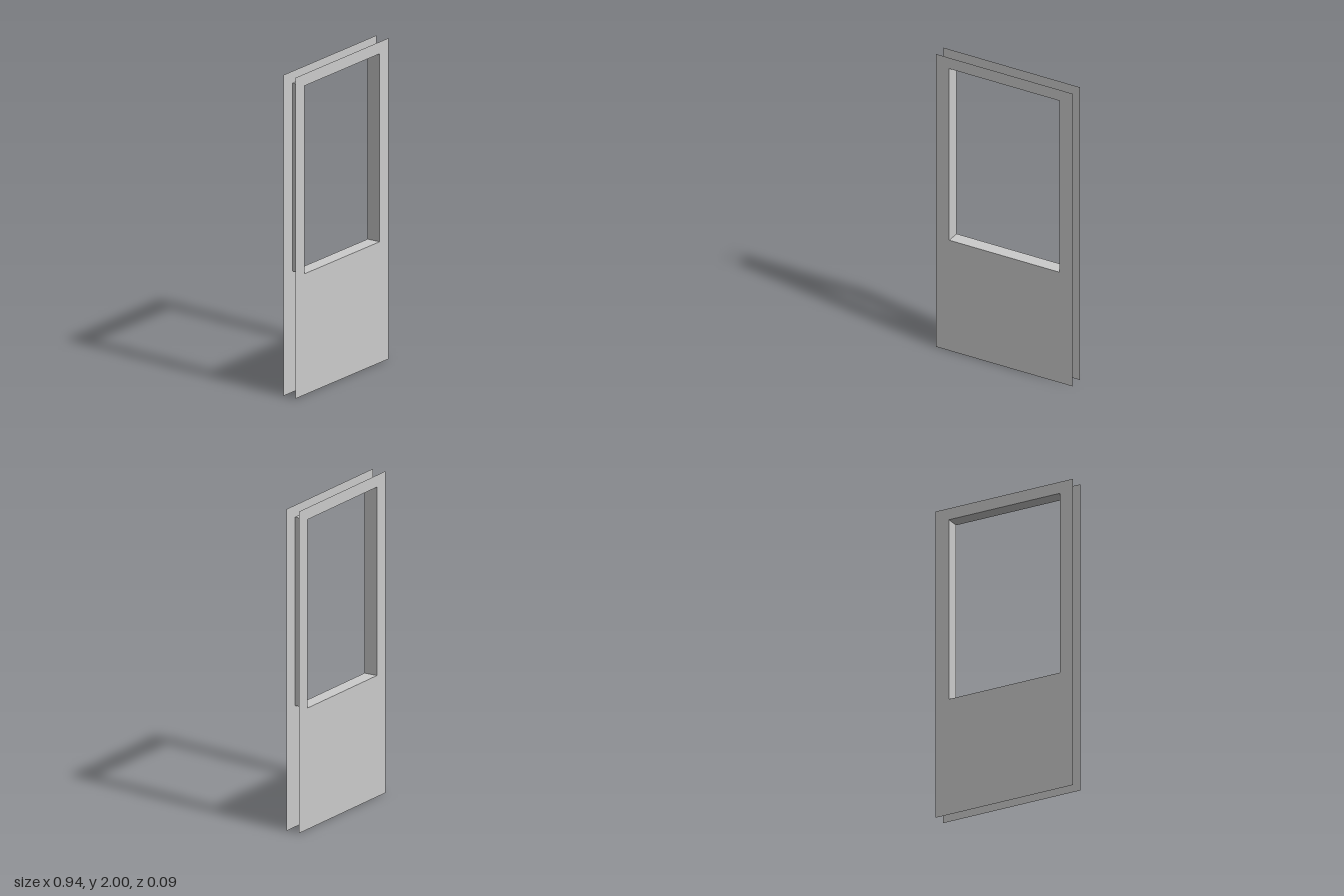
import * as THREE from 'three';

const HALF_W = 0.468, HEIGHT = 2, HALF_D = 0.044;
const OPEN_X = 0.377, OPEN_BOTTOM = 0.754, OPEN_TOP = 1.926;

export function createModel() {
  const group = new THREE.Group();
  group.name = 'doorPanel';
  const material = new THREE.MeshStandardMaterial({ color: 0xcccccc, side: THREE.DoubleSide });

  const addPlane = (name, geometry, position, rotation = [0, 0, 0]) => {
    const mesh = new THREE.Mesh(geometry, material);
    mesh.name = name;
    mesh.position.set(...position);
    mesh.rotation.set(...rotation);
    group.add(mesh);
  };

  // Thin face sheet with a window opening
  const corners = (x, y0, y1) => [[-x, y0], [x, y0], [x, y1], [-x, y1]].map(p => new THREE.Vector2(...p));
  const sheet = new THREE.Shape(corners(HALF_W, 0, HEIGHT));
  sheet.holes.push(new THREE.Path(corners(OPEN_X, OPEN_BOTTOM, OPEN_TOP)));
  const sheetGeometry = new THREE.ShapeGeometry(sheet);
  addPlane('frontSheet', sheetGeometry, [0, 0, HALF_D]);
  addPlane('backSheet', sheetGeometry, [0, 0, -HALF_D], [0, Math.PI, 0]);

  // Window reveal facing into the opening; the outer edges stay open
  const openHeight = OPEN_TOP - OPEN_BOTTOM, midY = (OPEN_TOP + OPEN_BOTTOM) / 2;
  const jamb = new THREE.PlaneGeometry(2 * HALF_D, openHeight);
  const ledge = new THREE.PlaneGeometry(2 * OPEN_X, 2 * HALF_D);
  addPlane('leftJamb', jamb, [OPEN_X, midY, 0], [0, -Math.PI / 2, 0]);
  addPlane('rightJamb', jamb, [-OPEN_X, midY, 0], [0, Math.PI / 2, 0]);
  addPlane('windowSill', ledge, [0, OPEN_BOTTOM, 0], [-Math.PI / 2, 0, 0]);
  addPlane('windowHead', ledge, [0, OPEN_TOP, 0], [Math.PI / 2, 0, 0]);

  return group;
}
